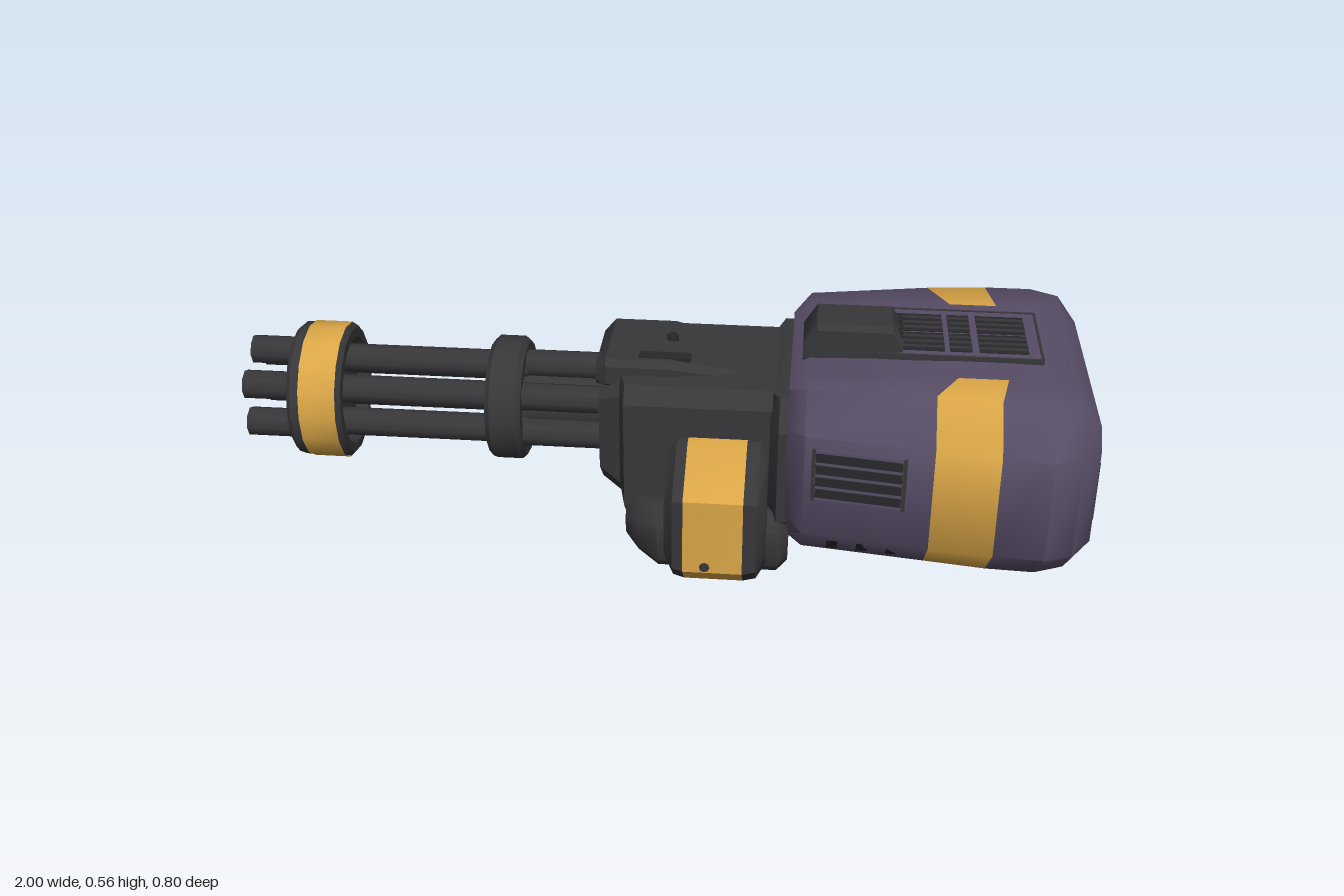
import * as THREE from 'three';
import { toCreasedNormals } from 'three/addons/utils/BufferGeometryUtils.js';

const mat = (name, color) => new THREE.MeshStandardMaterial({ name, color, side: THREE.DoubleSide });

export function createModel() {
  const purple = mat('purple paint', 0x574d66);
  const dark = mat('dark metal', 0x37373a);
  const black = mat('black recess', 0x28282b);
  const gold = mat('gold paint', 0xd9a546);
  const root = new THREE.Group();
  root.name = 'rotaryBlaster';
  const AXIS = 0.295; // height of the barrel axis

  const add = (name, geo, material, parent = root) => {
    const m = new THREE.Mesh(geo, material);
    m.name = name;
    parent.add(m);
    return m;
  };
  const box = (name, material, size, pos, parent = root) => {
    const m = add(name, new THREE.BoxGeometry(...size), material, parent);
    m.position.set(...pos);
    return m;
  };
  // cylinder lying along x
  const rod = (name, material, r, x0, x1, y, z, sides = 10) => {
    const g = new THREE.CylinderGeometry(r, r, x1 - x0, sides).rotateZ(Math.PI / 2);
    add(name, g, material).position.set((x0 + x1) / 2, y, z);
  };
  // skin over cross-sections that advance along +x; painted faces go in group 1
  const loft = (rings, { painted = () => false, caps = [true, true], crease = 0.6 } = {}) => {
    const tris = [[], []];
    const n = rings[0].length;
    for (let i = 0; i < rings.length - 1; i++) {
      for (let j = 0; j < n; j++) {
        const k = (j + 1) % n;
        const a = rings[i][j], b = rings[i][k], c = rings[i + 1][k], d = rings[i + 1][j];
        tris[painted(i, j) ? 1 : 0].push(...a, ...d, ...c, ...a, ...c, ...b);
      }
    }
    const first = rings[0], last = rings[rings.length - 1];
    for (let j = 1; j < n - 1; j++) {
      if (caps[0]) tris[0].push(...first[0], ...first[j], ...first[j + 1]);
      if (caps[1]) tris[0].push(...last[0], ...last[j + 1], ...last[j]);
    }
    let g = new THREE.BufferGeometry();
    g.setAttribute('position', new THREE.Float32BufferAttribute(tris[0].concat(tris[1]), 3));
    g = toCreasedNormals(g, crease);
    g.addGroup(0, tris[0].length / 3, 0);
    g.addGroup(tris[0].length / 3, tris[1].length / 3, 1);
    return g;
  };
  // rectangle cross-section with lower chamfer c and upper chamfer t
  const oct = (x, z0, z1, y0, y1, c, t = c) => [
    [z1, y0 + c], [z1, y1 - t], [z1 - t, y1], [z0 + t, y1],
    [z0, y1 - t], [z0, y0 + c], [z0 + c, y0], [z1 - c, y0],
  ].map(([z, y]) => [x, y, z]);

  // rear body: x, half width, low/high side edges, top/bottom half widths, bottom, top
  const TOP = 0.19, BOTTOM = 0.205; // how far in the stripe ends reach
  const stripeShift = { 2: [0.05, 0.05], 3: [0.02, 0.07] }; // slant of stripe ends: top, bottom
  const bodyRings = [
    [0.29, 0.27, 0.17, 0.39, 0.2, 0.215, 0.09, 0.455],
    [0.33, 0.33, 0.16, 0.41, 0.25, 0.24, 0.07, 0.485],
    [0.61, 0.37, 0.16, 0.41, 0.28, 0.26, 0.058, 0.497],
    [0.75, 0.388, 0.163, 0.41, 0.295, 0.275, 0.055, 0.497],
    [0.86, 0.4, 0.165, 0.41, 0.3, 0.28, 0.055, 0.495],
    [0.925, 0.36, 0.155, 0.41, 0.28, 0.265, 0.065, 0.488],
    [0.97, 0.3, 0.16, 0.39, 0.26, 0.25, 0.12, 0.43],
  ].map(([x, w, lo, hi, wt, wb, y0, y1], i) => {
    const [top, low] = stripeShift[i] ?? [0, 0];
    return [
      [w, lo], [w, hi], [wt, y1], [TOP, y1, top], [-TOP, y1, top], [-wt, y1],
      [-w, hi], [-w, lo], [-wb, y0], [-BOTTOM, y0, low], [BOTTOM, y0, low], [wb, y0],
    ].map(([z, y, shift = 0]) => [x + shift, y, z]);
  });
  add('body', loft(bodyRings, {
    painted: (i, j) => i === 2 && j !== 3 && j !== 9, caps: [true, false], crease: 0.9,
  }), [purple, gold]);

  // rear panel with a sunken opening, its frame and two hooks
  const rectPath = (Cls, w, y0, y1) => new Cls([[-w, y0], [w, y0], [w, y1], [-w, y1]].map(p => new THREE.Vector2(...p)));
  const panel = new THREE.Shape(bodyRings[6].map(([, y, z]) => new THREE.Vector2(z, y)));
  panel.holes.push(rectPath(THREE.Path, 0.24, 0.19, 0.328));
  add('rearPanel', new THREE.ShapeGeometry(panel).rotateY(Math.PI / 2), purple).position.x = 0.97;
  const trapezoid = (x, w, wTop, y0, y1) => [[x, y0, w], [x, y1, wTop], [x, y1, -wTop], [x, y0, -w]];
  add('rearOpening', loft([
    trapezoid(0.89, 0.16, 0.225, 0.22, 0.325), trapezoid(0.97, 0.24, 0.24, 0.19, 0.328),
  ], { caps: [true, false] }), dark);
  const frame = rectPath(THREE.Shape, 0.25, 0.185, 0.332);
  frame.holes.push(rectPath(THREE.Path, 0.239, 0.193, 0.325));
  add('rearFrame', new THREE.ExtrudeGeometry(frame, { depth: 0.016, bevelEnabled: false }).rotateY(Math.PI / 2), dark).position.x = 0.965;
  for (const s of [1, -1]) {
    box('rearHook', black, [0.012, 0.085, 0.01], [0.99, 0.18, s * 0.165]).rotation.x = s * 0.06;
    box('rearHookFoot', black, [0.03, 0.012, 0.012], [0.98, 0.145, s * 0.165]);
  }

  // side vents and lower slots
  for (const s of [1, -1]) {
    const vent = new THREE.Group();
    vent.name = 'sideVent';
    vent.position.set(0.45, 0.318, s * 0.346);
    vent.rotation.y = -s * 0.142;
    root.add(vent);
    box('ventPanel', purple, [0.2, 0.125, 0.008], [0, 0, 0], vent);
    for (let i = 0; i < 4; i++) box('ventSlat', black, [0.19, 0.021, 0.014], [0, -0.045 + i * 0.03, 0], vent);
    for (const e of [-0.1, 0.1]) box('ventPost', dark, [0.008, 0.13, 0.014], [e, 0, 0], vent);
    for (let i = 0; i < 3; i++) {
      const slot = box('lowerSlot', black, [0.025, 0.07, 0.01], [0.4 + i * 0.067, 0.116, s * (0.292 + i * 0.007)]);
      slot.rotation.x = s * 0.78;
    }
  }

  // top grille
  box('grillePlate', purple, [0.36, 0.012, 0.24], [0.67, 0.5, -0.015]);
  for (const z of [-0.135, 0.105]) box('grilleRim', dark, [0.37, 0.014, 0.006], [0.67, 0.501, z]);
  for (const x of [0.488, 0.852]) box('grilleRim', dark, [0.006, 0.014, 0.24], [x, 0.501, -0.015]);
  for (const [x, w] of [[0.575, 0.12], [0.672, 0.05], [0.768, 0.11]]) {
    for (const z of [-0.062, 0.036]) {
      box('grilleOpening', black, [w, 0.004, 0.09], [x, 0.506, z]);
      for (let i = 0; i < 3; i++) box('grilleBar', dark, [w, 0.003, 0.01], [x, 0.508, z - 0.026 + i * 0.026]);
    }
  }

  // sight block on top
  add('topBlock', loft([
    oct(0.315, -0.025, 0.095, 0.47, 0.52, 0.01), oct(0.345, -0.03, 0.1, 0.47, 0.566, 0.012),
    oct(0.515, -0.03, 0.1, 0.47, 0.566, 0.012), oct(0.54, -0.025, 0.095, 0.47, 0.53, 0.01),
  ]), dark);
  for (let i = 0; i < 4; i++) box('topBlockRib', black, [0.008, 0.005, 0.1], [0.535, 0.515 + i * 0.011, 0.035]);

  // underside plates
  add('bellyBlock', loft([
    oct(0.26, -0.08, 0.08, 0.04, 0.12, 0.012), oct(0.3, -0.09, 0.09, 0.03, 0.12, 0.012),
    oct(0.425, -0.09, 0.09, 0.032, 0.12, 0.012),
  ]), dark);
  box('bellyPlate', dark, [0.33, 0.008, 0.36], [0.485, 0.058, 0]);

  // receiver and collar
  add('receiver', loft([
    oct(-0.15, -0.13, 0.13, 0.13, 0.42, 0.06, 0.05), oct(-0.1, -0.15, 0.15, 0.1, 0.43, 0.06, 0.04),
    oct(-0.085, -0.2, 0.2, 0.08, 0.43, 0.05, 0.035), oct(0.28, -0.2, 0.2, 0.08, 0.43, 0.05, 0.035),
  ]), dark);
  add('collar', loft([
    oct(0.25, -0.22, 0.22, 0.1, 0.425, 0.06), oct(0.27, -0.265, 0.265, 0.085, 0.435, 0.06),
    oct(0.32, -0.265, 0.265, 0.085, 0.435, 0.06),
  ]), dark);
  add('receiverCover', loft([
    oct(-0.16, -0.1, 0.1, 0.39, 0.44, 0.015), oct(-0.135, -0.12, 0.12, 0.39, 0.464, 0.015),
    oct(0.01, -0.12, 0.12, 0.39, 0.464, 0.015), oct(0.13, -0.1, 0.1, 0.39, 0.442, 0.015),
    oct(0.175, -0.09, 0.09, 0.39, 0.43, 0.012),
  ]), dark);
  box('coverLatch', black, [0.12, 0.01, 0.03], [0, 0.462, 0.08]);
  const knob = add('coverKnob', new THREE.CylinderGeometry(0.012, 0.015, 0.02, 8), black);
  knob.position.set(0.01, 0.466, -0.01);

  // side pods: low inner fairing and painted outer guard with a sloping shoulder
  for (const s of [1, -1]) {
    const span = (a, b) => (s > 0 ? [a, b] : [-b, -a]);
    const fairing = [
      [-0.08, 0.13, 0.215, 0.05, 0.13, 0.02], [-0.05, 0.125, 0.25, 0.02, 0.155, 0.035],
      [0, 0.12, 0.285, 0.003, 0.16, 0.035], [0.275, 0.12, 0.285, 0.003, 0.16, 0.035],
      [0.3, 0.14, 0.265, 0.025, 0.14, 0.03],
    ].map(([x, a, b, y0, y1, c]) => oct(x, ...span(a, b), y0, y1, c));
    add('podFairing', loft(fairing, { crease: 0.9 }), dark);
    const guard = [
      [0.02, 0.33, 0.04, 0.29], [0.04, 0.355, 0.015, 0.315], [0.065, 0.36, 0.01, 0.32],
      [0.2, 0.36, 0.01, 0.32], [0.23, 0.355, 0.015, 0.315], [0.25, 0.33, 0.04, 0.29],
    ].map(([x, w, y0, y1]) => {
      const section = [
        [w, y0 + 0.05], [w, y1 - 0.075], [0.23, y1], [0.15, y1], [0.15, y0], [w - 0.05, y0],
      ].map(([z, y]) => [x, y, s * z]);
      return s > 0 ? section : section.reverse();
    });
    add('podGuard', loft(guard, { painted: i => i === 2 }), [dark, gold]);
    const rivet = add('podRivet', new THREE.CylinderGeometry(0.012, 0.012, 0.008, 8).rotateX(Math.PI / 2), dark);
    rivet.position.set(0.115, 0.075, s * 0.358);
  }

  // six stout barrels with muzzles and rear sleeves
  for (let i = 0; i < 6; i++) {
    const a = Math.PI / 2 + i * Math.PI / 3;
    const at = r => [AXIS + r * Math.sin(a), r * Math.cos(a)];
    rod('barrel', dark, 0.034, -0.9, -0.33, ...at(0.088));
    rod('muzzle', dark, 0.035, -1, -0.88, ...at(0.1), 8);
    rod('muzzleBore', black, 0.02, -1.002, -0.99, ...at(0.1), 8);
    rod('barrelSleeve', dark, 0.034, -0.35, -0.12, ...at(0.094), 8);
  }

  // clamp rings around the barrels, slightly narrower than tall
  const clamp = (name, material, narrow, profile) => {
    const g = new THREE.LatheGeometry(profile.map(p => new THREE.Vector2(...p)), 16).rotateZ(-Math.PI / 2);
    const m = add(name, toCreasedNormals(g.scale(1, 1, narrow), 0.6), material);
    m.position.y = AXIS;
  };
  const ring = (x0, x1, rIn, rOut, b) => [
    [rIn, x0], [rOut - b, x0], [rOut, x0 + b], [rOut, x1 - b], [rOut - b, x1], [rIn, x1], [rIn, x0],
  ];
  clamp('muzzleRing', dark, 0.93, ring(-0.89, -0.76, 0.132, 0.164, 0.01));
  clamp('muzzleRingBand', gold, 0.93, [[0.167, -0.859], [0.167, -0.771]]);
  clamp('middleRing', dark, 0.98, ring(-0.42, -0.335, 0.11, 0.149, 0.012));
  rod('muzzleSpacer', dark, 0.125, -0.86, -0.79, AXIS, 0, 12);
  rod('middleSpacer', dark, 0.12, -0.4, -0.35, AXIS, 0, 12);
  rod('rearHub', dark, 0.08, -0.34, -0.12, AXIS, 0, 12);
  return root;
}
